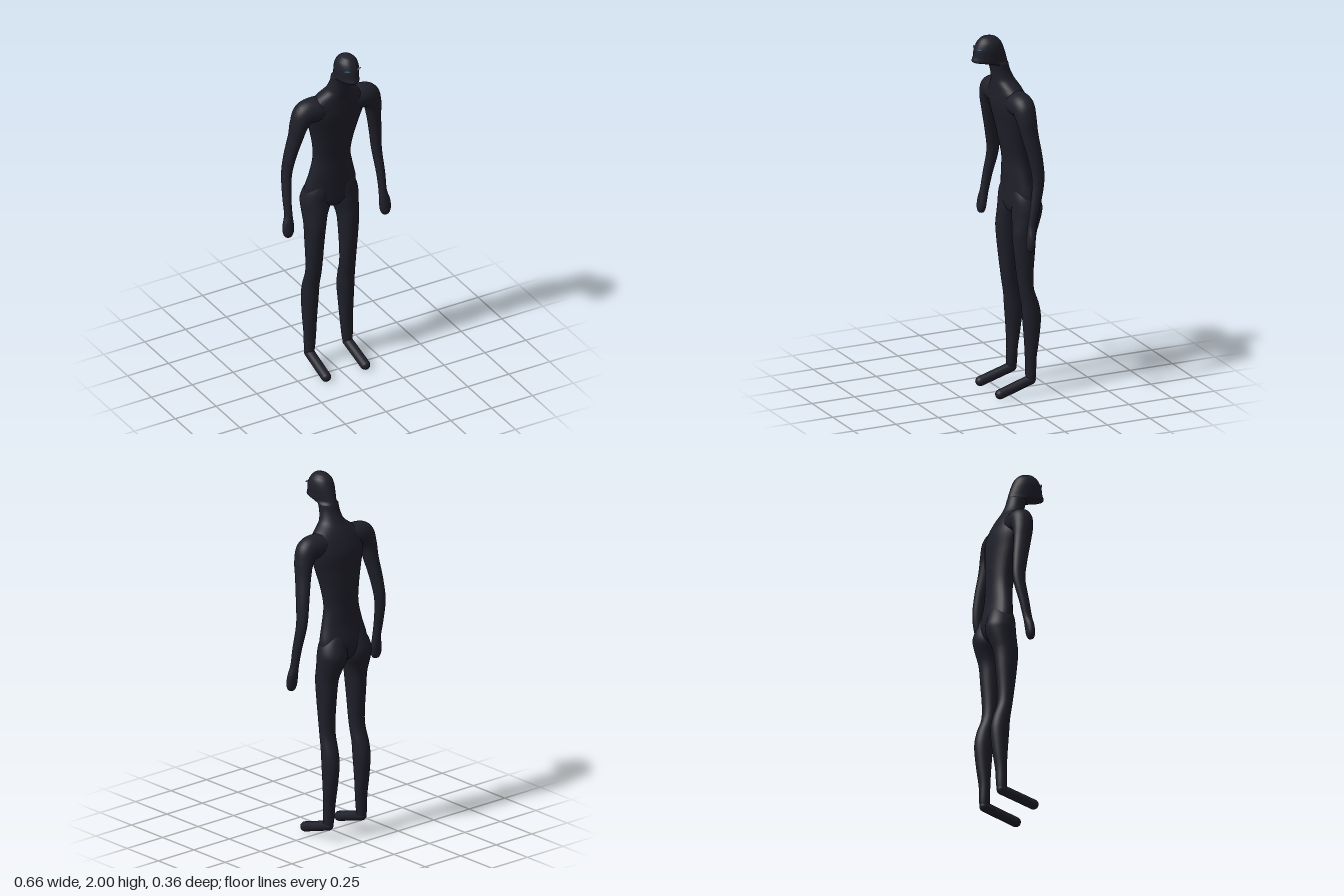
import * as THREE from 'three';

const SIDES = 32;

// Smooth skin over elliptical sections [x, y, z, radiusA, radiusB].
// flat keeps every section horizontal; otherwise sections follow the path.
function loft(rows, flat, steps = 6) {
  const path = new THREE.CatmullRomCurve3(rows.map(r => new THREE.Vector3(r[0], r[1], r[2])));
  const size = new THREE.CatmullRomCurve3(rows.map(r => new THREE.Vector3(r[3], r[4], r[1])));
  const n = (rows.length - 1) * steps;
  const up = Math.sign(rows[rows.length - 1][1] - rows[0][1]);
  const pos = [], index = [];
  for (let i = 0; i <= n; i++) {
    const c = path.getPoint(i / n);
    const r = size.getPoint(i / n);
    const t = flat ? new THREE.Vector3(0, up, 0) : path.getTangent(i / n);
    const a = new THREE.Vector3(0, 0, 1).cross(t).normalize();
    const b = t.clone().cross(a);
    for (let j = 0; j < SIDES; j++) {
      const q = (j / SIDES) * Math.PI * 2;
      const p = c.clone()
        .addScaledVector(a, Math.cos(q) * Math.max(r.x, 0))
        .addScaledVector(b, Math.sin(q) * Math.max(r.y, 0));
      pos.push(p.x, p.y, p.z);
      if (i < n) {
        const k = i * SIDES + j, l = i * SIDES + (j + 1) % SIDES;
        index.push(k, l, k + SIDES, l, l + SIDES, k + SIDES);
      }
    }
  }
  const g = new THREE.BufferGeometry();
  g.setAttribute('position', new THREE.Float32BufferAttribute(pos, 3));
  g.setIndex(index);
  g.computeVertexNormals();
  return g;
}

// Hips, waist, chest, neck
const TORSO = [
  [0, 0.985, -0.085, 0, 0], [0, 1.0, -0.085, 0.06, 0.05], [0, 1.04, -0.09, 0.13, 0.07],
  [0, 1.1, -0.092, 0.153, 0.073], [0, 1.2, -0.081, 0.13, 0.066], [0, 1.3, -0.075, 0.11, 0.065],
  [0, 1.4, -0.065, 0.12, 0.075], [0, 1.5, -0.053, 0.145, 0.083], [0, 1.6, -0.04, 0.17, 0.09],
  [0, 1.67, -0.026, 0.16, 0.079], [0, 1.71, -0.015, 0.12, 0.07], [0, 1.75, 0, 0.072, 0.06],
  [0, 1.8, 0.016, 0.057, 0.052], [0, 1.84, 0.027, 0.055, 0.053],
];
// Jutting jaw and rounded skull
const HEAD = [
  [0, 1.84, 0.027, 0.055, 0.053], [0, 1.852, 0.059, 0.053, 0.081], [0, 1.862, 0.079, 0.055, 0.099],
  [0, 1.89, 0.08, 0.058, 0.092], [0, 1.93, 0.083, 0.061, 0.082], [0, 1.965, 0.083, 0.053, 0.065],
  [0, 1.99, 0.085, 0.03, 0.038], [0, 2.0, 0.086, 0, 0],
];
// Buttock to ankle
const LEG = [
  [0.06, 1.19, -0.09, 0, 0], [0.062, 1.16, -0.09, 0.05, 0.05], [0.075, 1.1, -0.095, 0.075, 0.072],
  [0.085, 1.04, -0.102, 0.082, 0.081], [0.086, 1.0, -0.098, 0.08, 0.08], [0.095, 0.95, -0.088, 0.068, 0.073],
  [0.1, 0.9, -0.078, 0.06, 0.067], [0.103, 0.8, -0.077, 0.053, 0.058], [0.104, 0.6, -0.085, 0.045, 0.041],
  [0.108, 0.5, -0.108, 0.046, 0.048], [0.109, 0.43, -0.116, 0.046, 0.051], [0.111, 0.3, -0.115, 0.04, 0.04],
  [0.112, 0.2, -0.11, 0.035, 0.03], [0.116, 0.1, -0.108, 0.028, 0.028], [0.117, 0.068, -0.107, 0.021, 0.021],
  [0.117, 0.06, -0.107, 0, 0],
];
// Shoulder to hand
const ARM = [
  [0.04, 1.63, -0.03, 0.06, 0.06], [0.13, 1.64, -0.028, 0.068, 0.066], [0.19, 1.632, -0.028, 0.066, 0.062],
  [0.222, 1.575, -0.032, 0.05, 0.055], [0.237, 1.5, -0.042, 0.039, 0.048], [0.262, 1.36, -0.066, 0.031, 0.04],
  [0.275, 1.25, -0.075, 0.027, 0.034], [0.287, 1.1, -0.05, 0.023, 0.027], [0.289, 1.0, -0.032, 0.022, 0.024],
  [0.295, 0.94, -0.023, 0.032, 0.024], [0.297, 0.89, -0.018, 0.03, 0.022], [0.297, 0.867, -0.017, 0.018, 0.014],
  [0.297, 0.86, -0.017, 0, 0],
];

export function createModel() {
  const model = new THREE.Group();
  const skin = new THREE.MeshStandardMaterial({ name: 'dark skin', color: 0x20202b });
  const glow = new THREE.MeshStandardMaterial({ name: 'pale blue', color: 0x7ab8e6 });
  const add = (name, geometry, material = skin) => {
    const mesh = new THREE.Mesh(geometry, material);
    mesh.name = name;
    model.add(mesh);
    return mesh;
  };

  add('torso', loft(TORSO, true));
  add('head', loft(HEAD, true));

  for (const s of [1, -1]) {
    const side = s > 0 ? 'left' : 'right';
    const mirror = rows => rows.map(([x, ...rest]) => [s * x, ...rest]);
    add(side + 'Leg', loft(mirror(LEG), true));

    // The right forearm hangs slightly shorter
    const arm = mirror(ARM).map(([x, y, ...rest]) =>
      [x, s < 0 && y < 1.3 ? 1.3 - (1.3 - y) * 0.91 : y, ...rest]);
    add(side + 'Arm', loft(arm, false));

    // Foot: a capsule sloping from heel to toe
    const heel = new THREE.Vector3(s * 0.117, 0.082, -0.108);
    const toe = new THREE.Vector3(s * 0.12, 0.027, 0.073);
    const dir = toe.clone().sub(heel);
    const foot = add(side + 'Foot', new THREE.CapsuleGeometry(0.027, dir.length(), 10, 24));
    foot.position.copy(heel).add(toe).multiplyScalar(0.5);
    foot.quaternion.setFromUnitVectors(new THREE.Vector3(0, 1, 0), dir.normalize());

    // Narrow slit eye
    const eye = add(side + 'Eye', new THREE.SphereGeometry(1, 16, 10), glow);
    eye.scale.set(0.018, 0.0045, 0.0048);
    eye.position.set(s * 0.037, 1.935, 0.152);
    eye.rotation.set(0, s * 0.42, s * 0.06);
  }
  return model;
}
